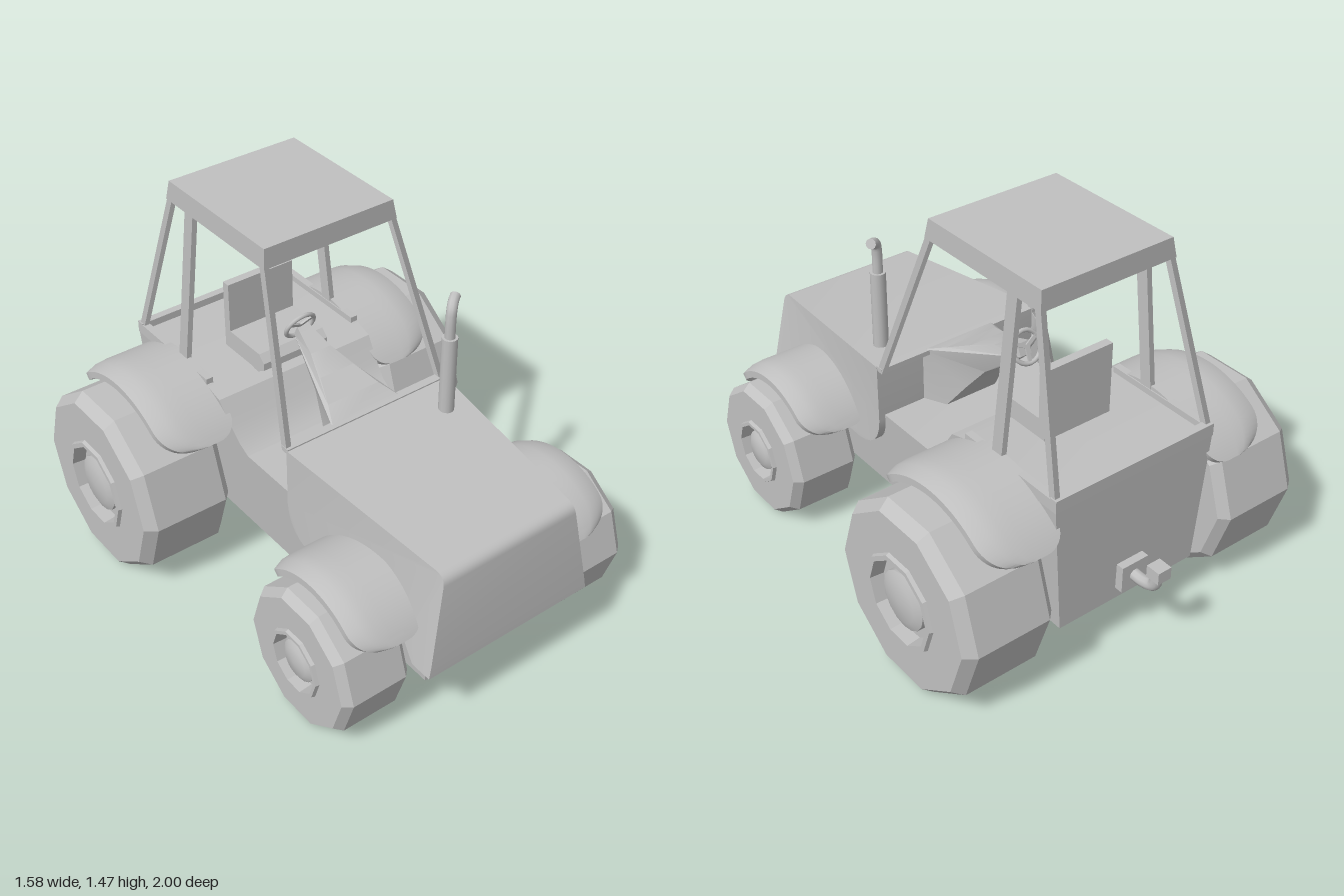
import * as THREE from 'three';
import { toCreasedNormals } from 'three/addons/utils/BufferGeometryUtils.js';

const grey = new THREE.MeshStandardMaterial({ color: 0xc0c0c0 });
grey.name = 'plain grey';

export function createModel() {
  const model = new THREE.Group();
  model.name = 'tractor';

  const add = (name, geo, parent = model) => {
    const mesh = new THREE.Mesh(geo, grey);
    mesh.name = name;
    parent.add(mesh);
    return mesh;
  };
  const move = (geo, rule) => {
    const p = geo.attributes.position, v = new THREE.Vector3();
    for (let i = 0; i < p.count; i++) {
      rule(v.fromBufferAttribute(p, i));
      p.setXYZ(i, v.x, v.y, v.z);
    }
    return geo;
  };
  const crease = (geo, angle = 0.5) => toCreasedNormals(geo, angle);
  // box given by its limits
  const box = (name, x0, x1, y0, y1, z0, z1) => add(name,
    new THREE.BoxGeometry(x1 - x0, y1 - y0, z1 - z0)
      .translate((x0 + x1) / 2, (y0 + y1) / 2, (z0 + z1) / 2));
  // (z, y) side profile, spread to a half width that depends on z and y
  const sideSolid = (name, shape, half) => {
    const geo = new THREE.ExtrudeGeometry(shape, { depth: 2, bevelEnabled: false, curveSegments: 6 });
    geo.translate(0, 0, -1).rotateY(-Math.PI / 2);
    move(geo, v => { v.x *= half(v.z, v.y); });
    return add(name, crease(geo));
  };
  const polygon = pts => new THREE.Shape(pts.map(p => new THREE.Vector2(...p)));

  // chassis, footwell and rear deck, widening upwards
  sideSolid('chassis', polygon([
    [0.92, 0.2], [0.92, 0.42], [0.3, 0.56], [-0.1, 0.56], [-0.15, 0.59],
    [-0.2, 0.65], [-0.26, 0.735], [-0.34, 0.76], [-0.83, 0.76], [-0.82, 0.2],
  ]), (z, y) => 0.315 + 0.08 * (y - 0.2));

  // bonnet, narrowing towards the upper front
  const bonnet = new THREE.Shape();
  bonnet.moveTo(1.0, 0.31);
  bonnet.lineTo(0.998, 0.36);
  bonnet.lineTo(0.972, 0.68);
  bonnet.quadraticCurveTo(0.968, 0.715, 0.93, 0.722);
  bonnet.lineTo(0.19, 0.785);
  bonnet.lineTo(0.19, 0.54);
  bonnet.quadraticCurveTo(0.2, 0.4, 0.34, 0.385);
  bonnet.lineTo(0.84, 0.385);
  bonnet.lineTo(0.91, 0.31);
  sideSolid('bonnet', bonnet, (z, y) =>
    0.37 - 0.075 * ((z - 0.19) / 0.78) * Math.max(0, (y - 0.31) / 0.41));

  // dashboard sweeping back into the steering column
  sideSolid('steeringColumn', polygon([
    [0.2, 0.78], [0.1, 0.82], [0, 0.865], [-0.1, 0.905], [-0.21, 0.955],
    [-0.23, 0.91], [-0.16, 0.845], [-0.06, 0.77], [0.02, 0.67], [0.1, 0.56], [0.2, 0.56],
  ]), z => 0.025 + 0.14 * Math.max(0, (z + 0.23) / 0.43) ** 1.6);

  const wheel = new THREE.Group();
  wheel.name = 'steeringWheel';
  wheel.position.set(0, 0.945, -0.23);
  wheel.rotation.x = Math.PI + 0.43;
  add('steeringRim', new THREE.TorusGeometry(0.062, 0.009, 8, 20), wheel);
  for (let i = 0; i < 3; i++) {
    const spoke = add('steeringSpoke', new THREE.BoxGeometry(0.014, 0.062, 0.008).translate(0, 0.031, 0), wheel);
    spoke.rotation.z = i * Math.PI * 2 / 3;
  }
  model.add(wheel);

  // seat
  sideSolid('seatCushion', polygon([
    [-0.26, 0.78], [-0.26, 0.81], [-0.29, 0.84], [-0.5, 0.84], [-0.5, 0.755], [-0.3, 0.755],
  ]), () => 0.15);
  box('seatBack', -0.15, 0.15, 0.76, 1.05, -0.52, -0.485);

  // cab frame
  const post = (name, side, w, d, [bx, by, bz], [tx, tz]) => {
    const ty = 1.41;
    add(name, move(new THREE.BoxGeometry(w, 1, d), v => {
      const t = v.y + 0.5;
      v.set(v.x + side * (bx + (tx - bx) * t), by + (ty - by) * t, v.z + bz + (tz - bz) * t);
    }));
  };
  for (const s of [-1, 1]) {
    post('frontPost', s, 0.022, 0.03, [0.357, 0.77, 0.175], [0.278, -0.046]);
    post('middlePost', s, 0.022, 0.052, [0.348, 0.75, -0.51], [0.278, -0.505]);
    post('rearPost', s, 0.022, 0.03, [0.348, 0.75, -0.815], [0.278, -0.632]);
    box('sideRail', s * 0.345 - 0.015, s * 0.345 + 0.015, 0.74, 0.785, -0.82, -0.34);
  }
  box('frontRail', -0.368, 0.368, 0.77, 0.79, 0.16, 0.195);
  box('rearRail', -0.36, 0.36, 0.74, 0.79, -0.832, -0.8);
  add('roof', move(new THREE.BoxGeometry(0.585, 0.075, 0.625), v => {
    if (v.y > 0) { v.x *= 0.965; v.z *= 0.965; }
    v.y += 1.437;
    v.z -= 0.34;
  }));

  // exhaust
  add('exhaustSilencer', new THREE.CylinderGeometry(0.03, 0.03, 0.34, 14).translate(0.255, 0.92, 0.33));
  const outlet = new THREE.CatmullRomCurve3([
    [0.255, 1.08, 0.33], [0.255, 1.17, 0.33], [0.26, 1.205, 0.327],
    [0.275, 1.225, 0.315], [0.3, 1.235, 0.298],
  ].map(p => new THREE.Vector3(...p)));
  const pipe = add('exhaustPipe', new THREE.TubeGeometry(outlet, 16, 0.02, 10));
  const cap = add('exhaustEnd', new THREE.CircleGeometry(0.02, 10));
  cap.position.copy(outlet.getPoint(1));
  cap.lookAt(outlet.getPoint(1).add(outlet.getTangent(1)));

  // ten-sided wheels: tyre with a bevelled tread, raised rim and domed hub
  const lathe = (pts, n) => new THREE.LatheGeometry(
    pts.map(([r, x]) => new THREE.Vector2(r, x)), n).rotateZ(-Math.PI / 2);
  const makeWheel = (name, side, R, y, z, inner, outer, rim, hub) => {
    const g = new THREE.Group();
    g.name = name;
    g.position.set(0, y, z);
    if (side < 0) g.rotation.y = Math.PI;
    const b = R * 0.09;
    add('tyre', crease(lathe([
      [0, inner], [R - b, inner], [R, inner + b], [R, outer - b * 1.3], [R - b, outer],
      [rim, outer], [rim * 0.97, outer + 0.014], [rim * 0.87, outer + 0.014],
      [rim * 0.84, outer - 0.04], [0, outer - 0.04],
    ], 10), 0.1), g);
    add('hub', crease(lathe([
      [hub, outer - 0.045], [hub, outer - 0.01], [hub * 0.7, outer + 0.004], [0, outer + 0.01],
    ], 16), 0.6), g);
    model.add(g);
  };

  // mudguard: a slab bent over the wheel, its corners rounded in plan
  const mudguard = (name, side, r, y, z, x0, x1, arc, corner) => {
    const geo = move(new THREE.BoxGeometry(1, 1, 1, 6, 1, 40), v => {
      const u = v.x + 0.5, w = Math.sin(v.z * Math.PI);
      const fromEnd = (1 - Math.abs(w)) * arc * r;
      const cut = c => (fromEnd < c ? c - Math.sqrt(c * c - (c - fromEnd) ** 2) : 0);
      const a = x0 + cut(corner * 0.6), b = x1 - cut(corner);
      // outer edge droops a little
      const rad = r + (v.y - 0.5) * 0.028 - 0.022 * Math.max(0, (u - 0.7) / 0.3) ** 2;
      v.set(side * (a + (b - a) * u), y + rad * Math.cos(w * arc), z + rad * Math.sin(w * arc));
    });
    if (side < 0) {
      const ix = geo.index.array;
      for (let i = 0; i < ix.length; i += 3) [ix[i], ix[i + 1]] = [ix[i + 1], ix[i]];
    }
    add(name, crease(geo, 0.7));
  };

  for (const s of [-1, 1]) {
    makeWheel('rearWheel', s, 0.38, 0.364, -0.519, 0.395, 0.775, 0.19, 0.115);
    makeWheel('frontWheel', s, 0.284, 0.272, 0.632, 0.375, 0.66, 0.135, 0.083);
    mudguard('rearMudguard', s, 0.436, 0.364, -0.519, 0.335, 0.64, 0.93, 0.14);
    mudguard('frontMudguard', s, 0.336, 0.275, 0.626, 0.32, 0.59, 1.03, 0.12);
  }
  for (const [name, y, z, w] of [['frontAxle', 0.272, 0.632, 0.8], ['rearAxle', 0.364, -0.519, 0.84]]) {
    add(name, new THREE.CylinderGeometry(0.05, 0.05, w, 10).rotateZ(Math.PI / 2).translate(0, y, z));
  }

  // rear hitch
  box('hitchPlate', -0.06, 0.06, 0.25, 0.36, -0.855, -0.82);
  const hook = new THREE.CatmullRomCurve3([
    [0, 0.305, -0.84], [0, 0.305, -0.9], [0, 0.325, -0.95], [0, 0.385, -0.968],
  ].map(p => new THREE.Vector3(...p)));
  add('hitchHook', new THREE.TubeGeometry(hook, 12, 0.024, 10));
  box('hitchHead', -0.03, 0.03, 0.37, 0.42, -1.0, -0.94);

  return model;
}
